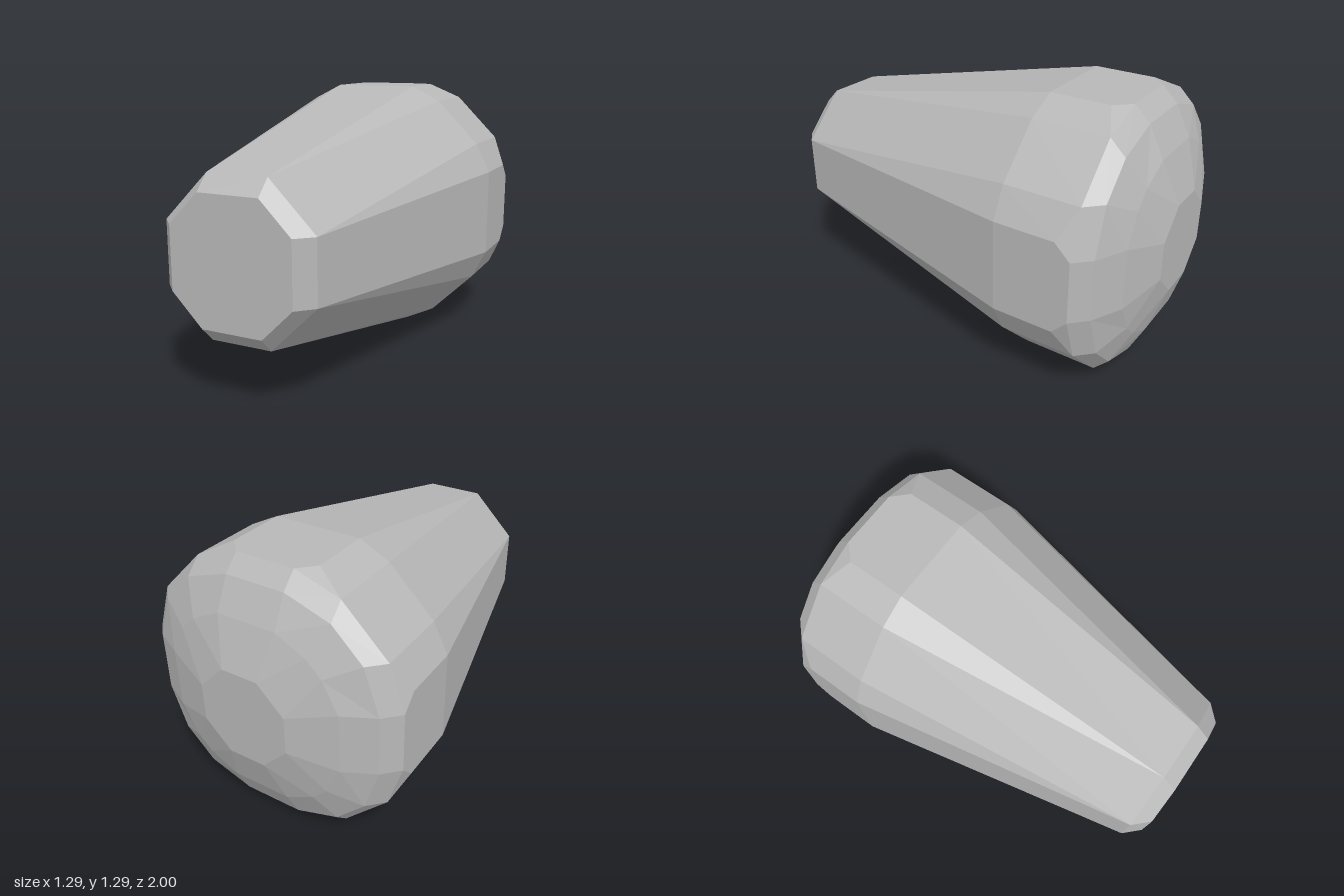
import * as THREE from 'three';

const UNIT = 1 / 14; // the form sits on a regular lattice
const CENTRE_Y = 9 * UNIT;

// One quarter of a ring [x, y, z], turned four times about the long axis.
function ring(a, b, za, zb) {
  const quarter = [[...a, za], [...b, zb], [b[1], b[0], zb], [a[1], a[0], za]];
  const points = [];
  for (let turn = 0; turn < 4; turn++) {
    for (const [x, y, z] of quarter) {
      const [px, py] = [[x, y], [-y, x], [-x, -y], [y, -x]][turn];
      points.push(new THREE.Vector3(px, py, z).multiplyScalar(UNIT));
    }
  }
  return points;
}

// Skins rings from front to back with flat facets, optionally closing an end.
function loft(rings, capFront, capBack) {
  const positions = [];
  const triangle = (a, b, c) => {
    const area = new THREE.Triangle(a, b, c).getArea();
    if (area > 1e-7) for (const p of [a, b, c]) positions.push(p.x, p.y, p.z);
  };
  for (let i = 0; i < rings.length - 1; i++) {
    const front = rings[i], back = rings[i + 1], n = front.length;
    for (let j = 0; j < n; j++) {
      const k = (j + 1) % n;
      triangle(front[j], back[j], front[k]);
      triangle(front[k], back[j], back[k]);
    }
  }
  const first = rings[0], last = rings[rings.length - 1];
  for (let j = 1; j < first.length - 1; j++) {
    if (capFront) triangle(first[0], first[j], first[j + 1]);
    if (capBack) triangle(last[0], last[j + 1], last[j]);
  }
  const geometry = new THREE.BufferGeometry();
  geometry.setAttribute('position', new THREE.Float32BufferAttribute(positions, 3));
  geometry.computeVertexNormals();
  return geometry;
}

export function createModel() {
  const group = new THREE.Group();
  const grey = new THREE.MeshStandardMaterial({ color: 0xb8b8b8, flatShading: true });
  grey.name = 'grey';

  // Cross-sections along the long axis
  const tipFace = ring([4, 2], [4, 2], 14, 14);
  const tipEdge = ring([5, 2], [5, 2], 13, 13);
  const shoulder = ring([9, 3], [8, 5], -6, -6);
  const bandEnd = ring([9, 3], [8, 5], -10, -11);
  const rim = ring([9, 2], [8, 5], -11, -11);
  const rimInner = ring([8, 2], [7, 5], -12, -12);
  const domeMiddle = ring([6, 2], [5, 4], -13, -13);
  const domeFace = ring([3, 1.25], [3, 1.25], -14, -14);

  const add = (name, rings, capFront = false, capBack = false) => {
    const mesh = new THREE.Mesh(loft(rings, capFront, capBack), grey);
    mesh.name = name;
    mesh.position.y = CENTRE_Y;
    group.add(mesh);
  };
  add('bevelledTip', [tipFace, tipEdge], true);
  add('taperedBody', [tipEdge, shoulder]);
  add('wideBand', [shoulder, bandEnd]);
  add('bevelledRim', [bandEnd, rim, rimInner]);
  add('domedEnd', [rimInner, domeMiddle, domeFace], false, true);
  return group;
}
